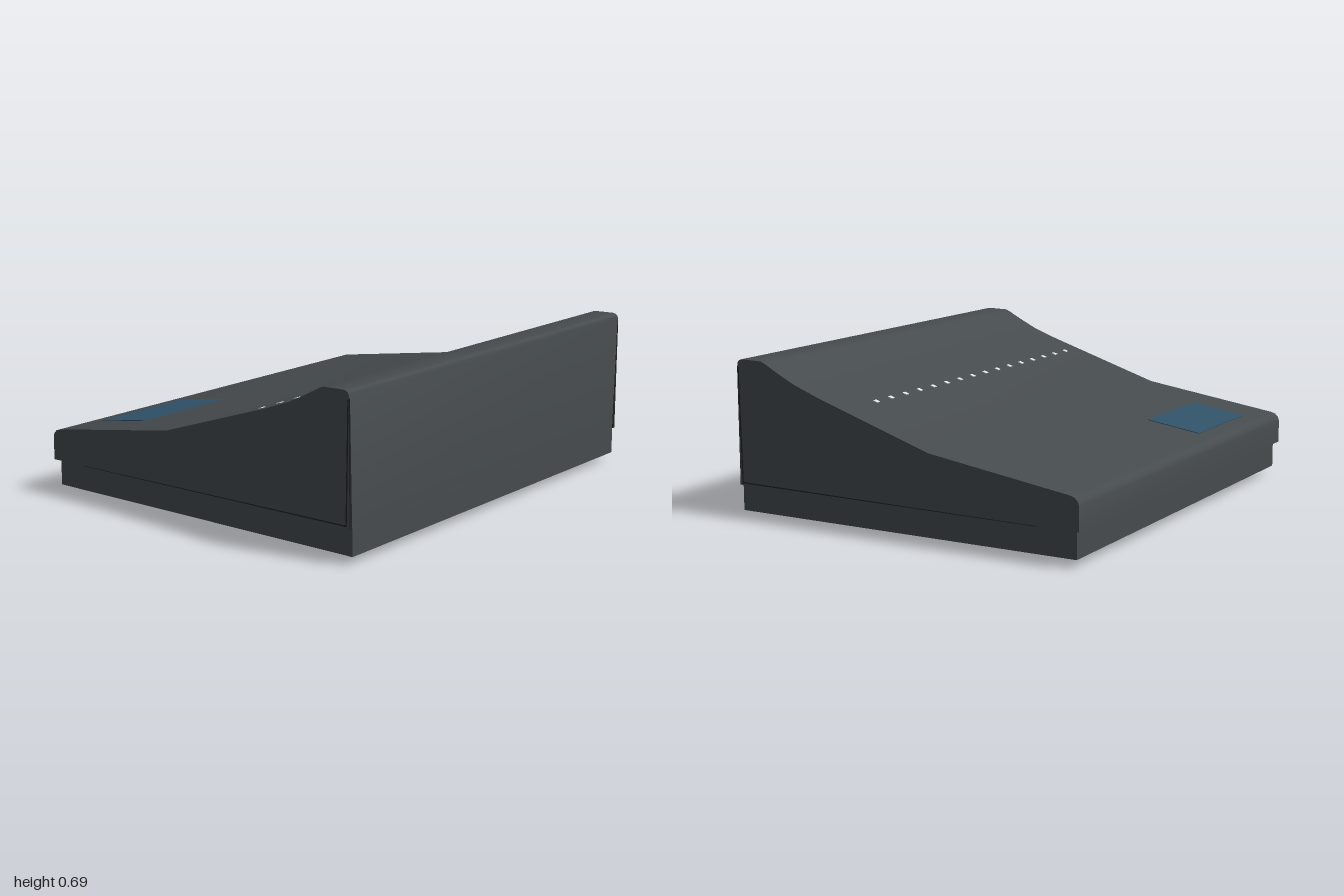
import * as THREE from 'three';
import { toCreasedNormals } from 'three/addons/utils/BufferGeometryUtils.js';

const paint = (name, color) => {
  const m = new THREE.MeshStandardMaterial({ color });
  m.name = name;
  return m;
};

export function createModel() {
  const model = new THREE.Group();
  const body = paint('slate grey', 0x464b4e);
  const seam = paint('seam black', 0x202224);
  const rubber = paint('foot rubber', 0x38393b);
  const glass = paint('display blue', 0x31526a);
  const light = paint('indicator white', 0xe4e4e4);

  const add = (name, geometry, material, x = 0, y = 0, z = 0) => {
    const mesh = new THREE.Mesh(geometry, material);
    mesh.name = name;
    mesh.position.set(x, y, z);
    model.add(mesh);
    return mesh;
  };
  // Extrudes a side profile, given as [z, y] points, along x
  const sideExtrude = (points, width) => {
    const shape = new THREE.Shape(points.map(([z, y]) => new THREE.Vector2(-z, y)));
    const g = new THREE.ExtrudeGeometry(shape, { depth: width, bevelEnabled: false });
    return g.rotateY(Math.PI / 2).translate(-width / 2, 0, 0);
  };

  // Sloping cover with rounded front lip and back edge
  const profile = [
    [0.813, 0.15], [0.813, 0.668], [0.808, 0.681], [0.797, 0.688], [0.785, 0.69],
    [0.69, 0.688], [0.67, 0.68], [0.6, 0.643], [0.52, 0.604], [0.4, 0.56],
    [-0.14, 0.385], [-0.775, 0.29], [-0.795, 0.283], [-0.81, 0.268], [-0.815, 0.25], [-0.815, 0.15],
  ];
  add('cover', toCreasedNormals(sideExtrude(profile, 2), 0.6), body);

  // Base tray, set in slightly from the cover
  add('base', new THREE.BoxGeometry(1.96, 0.115, 1.61), body, 0, 0.0925, 0.01);

  // Narrow dark seams where the cover wraps the front and sides
  const sideSeam = sideExtrude([
    [0.812, 0.655], [0.806, 0.655], [0.797, 0.163], [-0.63, 0.152], [-0.63, 0.15], [0.803, 0.157],
  ], 0.002);
  for (const s of [-1, 1]) {
    add('sideSeam', sideSeam, seam, s, 0, 0);
    const sliver = new THREE.Shape([
      new THREE.Vector2(0.982, 0.15), new THREE.Vector2(1, 0.15), new THREE.Vector2(1, 0.66), new THREE.Vector2(0.996, 0.66),
    ].map((p) => new THREE.Vector2(p.x * s, p.y)));
    add('frontSeam', new THREE.ExtrudeGeometry(sliver, { depth: 0.002, bevelEnabled: false }), seam, 0, 0, 0.8125);
  }

  // Display lying on the rear slope
  add('display', new THREE.BoxGeometry(0.5, 0.004, 0.257), glass, -0.55, 0.3185, -0.59).rotation.x = -0.149;

  // Row of small indicator lights
  const dot = new THREE.BoxGeometry(0.022, 0.006, 0.021);
  for (let i = 0; i < 16; i++) {
    add('indicator', dot, light, -0.875 + i * 0.109, 0.5195, 0.275).rotation.x = -0.313;
  }

  // Four tapered feet
  const foot = new THREE.CylinderGeometry(0.036, 0.025, 0.036, 16);
  for (const x of [-0.84, 0.84]) {
    for (const z of [-0.685, 0.69]) add('foot', foot, rubber, x, 0.018, z);
  }
  return model;
}
